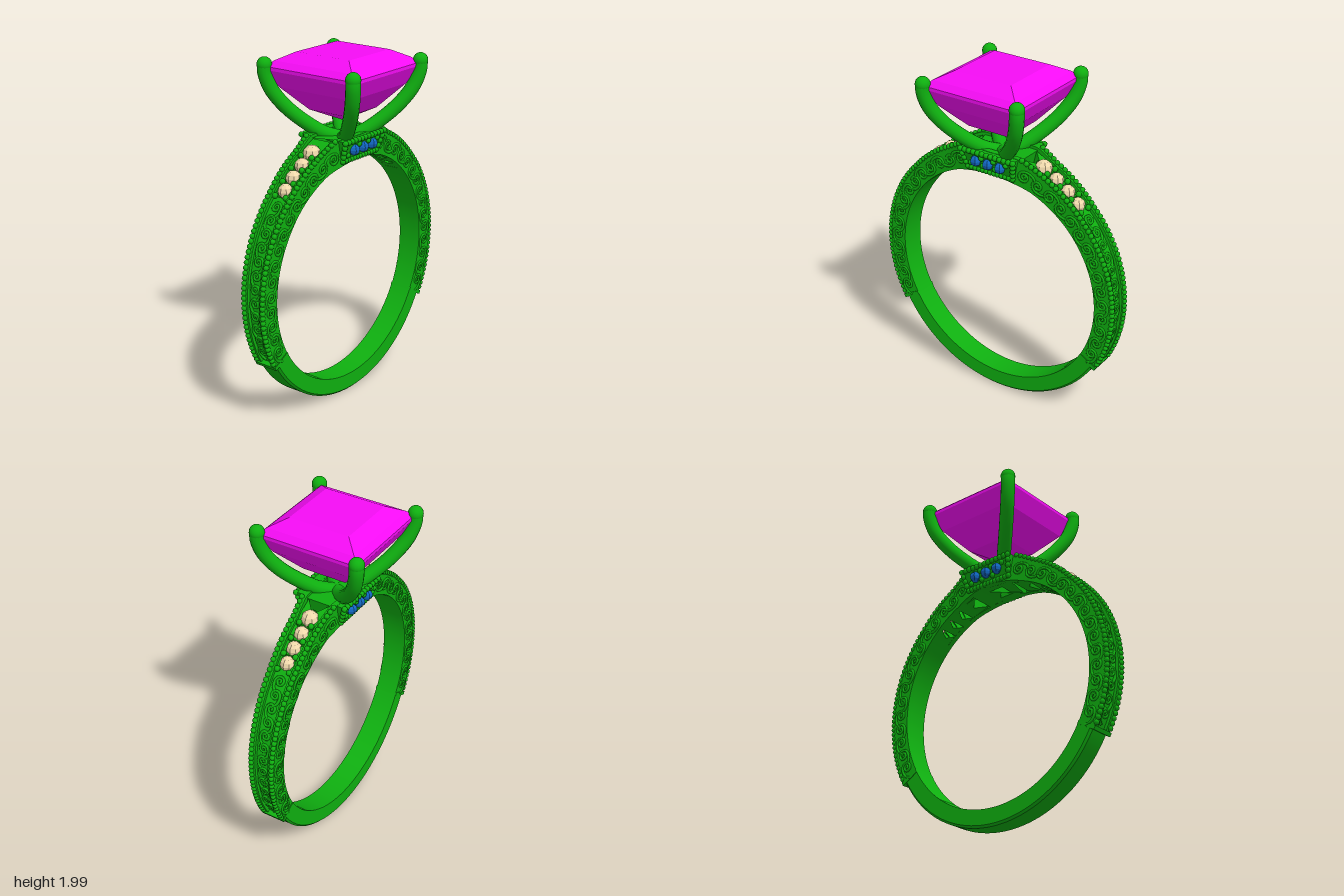
import * as THREE from 'three';
import { mergeGeometries, toCreasedNormals } from 'three/addons/utils/BufferGeometryUtils.js';

const CY = 0.765, RI = 0.655, D = Math.PI / 180;
const mat = (color, extra = {}) => new THREE.MeshStandardMaterial({ color, ...extra });

// Piecewise-linear lookup through [x, y] stops
function lerpStops(stops, x) {
  for (let i = 1; i < stops.length; i++) {
    const [x0, y0] = stops[i - 1], [x1, y1] = stops[i];
    if (x <= x1) return y0 + (y1 - y0) * (x - x0) / (x1 - x0);
  }
  return stops[stops.length - 1][1];
}

// Angles are in degrees from the top of the ring
const outerR = a => Math.abs(a) < 13 ? 0.79 / Math.cos(a * D)
  : lerpStops([[13, 0.811], [22, 0.788], [45, 0.768], [90, 0.764], [120, 0.764]], Math.abs(a));
const halfW = a => lerpStops([[0, 0.12], [13, 0.108], [22, 0.092], [45, 0.081], [90, 0.071], [120, 0.066]], Math.abs(a));
const railIn = a => halfW(a) - 0.032;
const onRing = (a, r, z) => new THREE.Vector3(r * Math.sin(a * D), CY + r * Math.cos(a * D), z);

// Sweep a convex [radius, z] section around the ring
function sweep(profile, a0, a1, n) {
  const pos = [], idx = [], m = profile(a0).length;
  for (let i = 0; i <= n; i++) {
    const a = a0 + (a1 - a0) * i / n;
    for (const [r, z] of profile(a)) pos.push(...onRing(a, r, z).toArray());
  }
  for (let i = 0; i < n; i++) for (let j = 0; j < m; j++) {
    const k = (j + 1) % m, a = i * m + j, b = a + m, c = (i + 1) * m + k, d = i * m + k;
    idx.push(a, b, c, a, c, d);
  }
  for (let j = 1; j < m - 1; j++) idx.push(0, j, j + 1, n * m, n * m + j + 1, n * m + j);
  const g = new THREE.BufferGeometry();
  g.setAttribute('position', new THREE.Float32BufferAttribute(pos, 3));
  g.setIndex(idx);
  return toCreasedNormals(g, 0.5);
}
const rect = (ro, w, ri = RI) => [[ro, w], [ro, -w], [ri, -w], [ri, w]];

// Curved floor piece with a round or square opening
function holedCell(a0, a1, w, hole, sides) {
  const n = 6, s = new THREE.Shape(), mid = (a0 + a1) / 2, k = 0.7 * D;
  for (let i = 0; i <= n; i++) s.lineTo((a0 + (a1 - a0) * i / n - mid) * k, -w);
  for (let i = n; i >= 0; i--) s.lineTo((a0 + (a1 - a0) * i / n - mid) * k, w);
  const h = new THREE.Path();
  for (let i = 0; i < sides; i++) {
    const t = -(i + 0.5) / sides * 2 * Math.PI;
    h.lineTo(hole * Math.cos(t), hole * Math.sin(t));
  }
  s.holes.push(h);
  const g = new THREE.ExtrudeGeometry(s, { depth: 1, bevelEnabled: false });
  const p = g.attributes.position;
  for (let i = 0; i < p.count; i++) {
    const a = mid + p.getX(i) / k, r = RI + 0.001 + p.getZ(i) * (outerR(a) - 0.018 - RI);
    p.setXYZ(i, ...onRing(a, r, -p.getY(i)).toArray());
  }
  g.deleteAttribute('uv');
  return toCreasedNormals(g, 0.5);
}

const ball = (p, r, w = 8, h = 6) => new THREE.SphereGeometry(r, w, h).translate(p.x, p.y, p.z);

// One spiral with a trailing tail, mapped onto the ring by place(u, v)
function scroll(place, size, flip) {
  const pts = [];
  for (let k = 0; k <= 11; k++) {
    const t = k / 11, r = size * (0.15 + 0.85 * t), ang = t * 3.5 * Math.PI;
    pts.push(place(r * Math.cos(ang), flip * r * Math.sin(ang)));
  }
  pts.push(place(size * 1.3, -flip * size * 0.85), place(size * 2.1, -flip * size * 0.1));
  return new THREE.TubeGeometry(new THREE.CatmullRomCurve3(pts), 32, 0.0085, 5);
}

export function createModel() {
  const ring = new THREE.Group();
  ring.name = 'ring';
  const metal = mat(0x0fb010);
  const add = (name, geos, material = metal, parent = ring) => {
    const m = new THREE.Mesh(Array.isArray(geos) ? mergeGeometries(geos) : geos, material);
    m.name = name;
    parent.add(m);
    return m;
  };

  // Plain lower band with softened outer edges
  add('lowerBand', sweep(() => [[0.755, 0.056], [0.755, -0.056], [0.743, -0.068], [RI, -0.068],
    [RI, 0.068], [0.743, 0.068]], 119.5, 240.5, 60));

  // Two rails with a channel floor between them
  add('rails', [1, -1].map(s => sweep(a => {
    const p = [[outerR(a), halfW(a)], [outerR(a), railIn(a)], [RI, railIn(a)], [RI, halfW(a)]];
    return s > 0 ? p : p.map(([r, z]) => [r, -z]).reverse();
  }, -120, 120, 120)));
  const stoneAngles = [20.5, 27.5, 34.2, 40.7], edges = [13, 24, 31, 37.5, 44];
  const floors = [holedCell(-13, 13, 0.095, 0.07, 4)], collars = [];
  for (const s of [1, -1]) {
    for (let i = 0; i < 4; i++) {
      const [a, b] = [s * edges[i], s * edges[i + 1]];
      floors.push(holedCell(Math.min(a, b), Math.max(a, b), 0.065, 0.024, 12));
    }
    const [a, b] = s > 0 ? [44, 120] : [-120, -44];
    floors.push(sweep(t => rect(outerR(t) - 0.018, railIn(t) + 0.005), a, b, 38));
    collars.push(sweep(() => rect(0.774, 0.071), s > 0 ? 118.3 : -120, s > 0 ? 120 : -118.3, 2));
  }
  add('channelFloor', floors);
  add('collars', collars);

  // Beaded edges and scrollwork on the sides and in the channel
  const beads = [], scrolls = [];
  for (const s of [1, -1]) {
    for (const e of [1, -1]) {
      for (let a = 14; a < 118; a += 2.1)
        beads.push(ball(onRing(s * a, outerR(a) + 0.001, e * (halfW(a) - 0.007)), 0.0155));
      for (let i = 0; i < 15; i++) {
        const c = 17 + i * 6.9, r0 = (RI + outerR(c)) / 2 - 0.004;
        scrolls.push(scroll((u, v) => {
          const a = c + u / r0 / D;
          return onRing(s * a, r0 + v, e * (halfW(a) + 0.001));
        }, 0.034, i % 2 ? 1 : -1));
      }
    }
    for (let i = 0; i < 12; i++) {
      const c = 48.5 + i * 5.8;
      scrolls.push(scroll((u, v) => {
        const a = c + u / 0.75 / D;
        return onRing(s * a, outerR(a) - 0.015, v);
      }, 0.029, i % 2 ? 1 : -1));
    }
  }
  add('edgeBeads', beads);
  add('scrollwork', scrolls);

  // Shoulder stones held by small beads
  const stones = [], holders = [];
  for (const s of [1, -1]) stoneAngles.forEach((a, i) => {
    stones.push(ball(onRing(s * a, outerR(a) - 0.022, 0), i ? 0.042 : 0.05, 8, 6));
    for (const e of [1, -1])
      holders.push(ball(onRing(s * (a + 3.4), outerR(a + 3.4) - 0.004, e * 0.037), 0.017));
  });
  add('shoulderStones', stones, mat(0xf0d9ac, { flatShading: true }));
  add('stoneBeads', holders);

  // Leaning gallery plates, front and back, with three small stones each
  const lean = y => 0.115 + (y - 1.43) * 0.32;
  const trapezoid = new THREE.Shape([[-0.15, 1.42], [0.15, 1.42], [0.178, 1.553], [-0.178, 1.553]]
    .map(p => new THREE.Vector2(...p)));
  for (const [name, turn] of [['frontGallery', 0], ['backGallery', Math.PI]]) {
    const gallery = new THREE.Group();
    gallery.name = name;
    gallery.rotation.y = turn;
    const plate = new THREE.ExtrudeGeometry(trapezoid, { depth: 1, bevelEnabled: false });
    const p = plate.attributes.position;
    for (let i = 0; i < p.count; i++) if (p.getZ(i) > 0.5) p.setZ(i, lean(p.getY(i))); else p.setZ(i, 0.08);
    plate.computeVertexNormals();
    add('galleryPlate', plate, metal, gallery);
    const trim = [], at = (x, y, r) => trim.push(ball(new THREE.Vector3(x, y, lean(y)), r));
    for (let i = 0; i <= 12; i++) {
      const t = i / 6 - 1;
      at(t * 0.172, 1.545, 0.0165);
      at(t * 0.148, 1.432, 0.0155);
    }
    for (const s of [1, -1]) {
      for (let i = 1; i < 4; i++) at(s * (0.148 + 0.006 * i), 1.432 + 0.028 * i, 0.0165);
      for (const x of [-0.04, 0.04, s * 0.12]) at(x, 1.49 + s * 0.025, 0.016);
    }
    add('galleryBeads', trim, metal, gallery);
    add('galleryStones', [-0.08, 0, 0.08].map(x =>
      ball(new THREE.Vector3(x, 1.49, lean(1.49) + 0.004), 0.032, 6, 6)),
    mat(0x1268c4, { flatShading: true }), gallery);
    ring.add(gallery);
  }

  // Four curved prongs with rounded tips
  const prongs = [];
  for (const sx of [1, -1]) for (const sz of [1, -1]) {
    const path = [[0.0, 1.515], [0.07, 1.545], [0.14, 1.605], [0.22, 1.7], [0.275, 1.8], [0.298, 1.89], [0.299, 1.936]]
      .map(([d, y]) => new THREE.Vector3(sx * d, y, sz * d));
    prongs.push(new THREE.TubeGeometry(new THREE.CatmullRomCurve3(path), 32, 0.04, 14));
    prongs.push(ball(path[6], 0.042, 16, 12));
  }
  add('prongs', prongs);

  // Square-cut centre stone: pavilion, girdle, crown and table
  const cut = [[0, 1.615], [0.13, 1.68], [0.245, 1.81], [0.295, 1.905], [0.295, 1.924], [0.262, 1.955], [0.178, 2], [0, 2]];
  add('centreStone', new THREE.LatheGeometry(cut.map(([h, y]) => new THREE.Vector2(h * Math.SQRT2, y)),
    4, Math.PI / 4), mat(0xf50cf5, { flatShading: true }));
  return ring;
}
